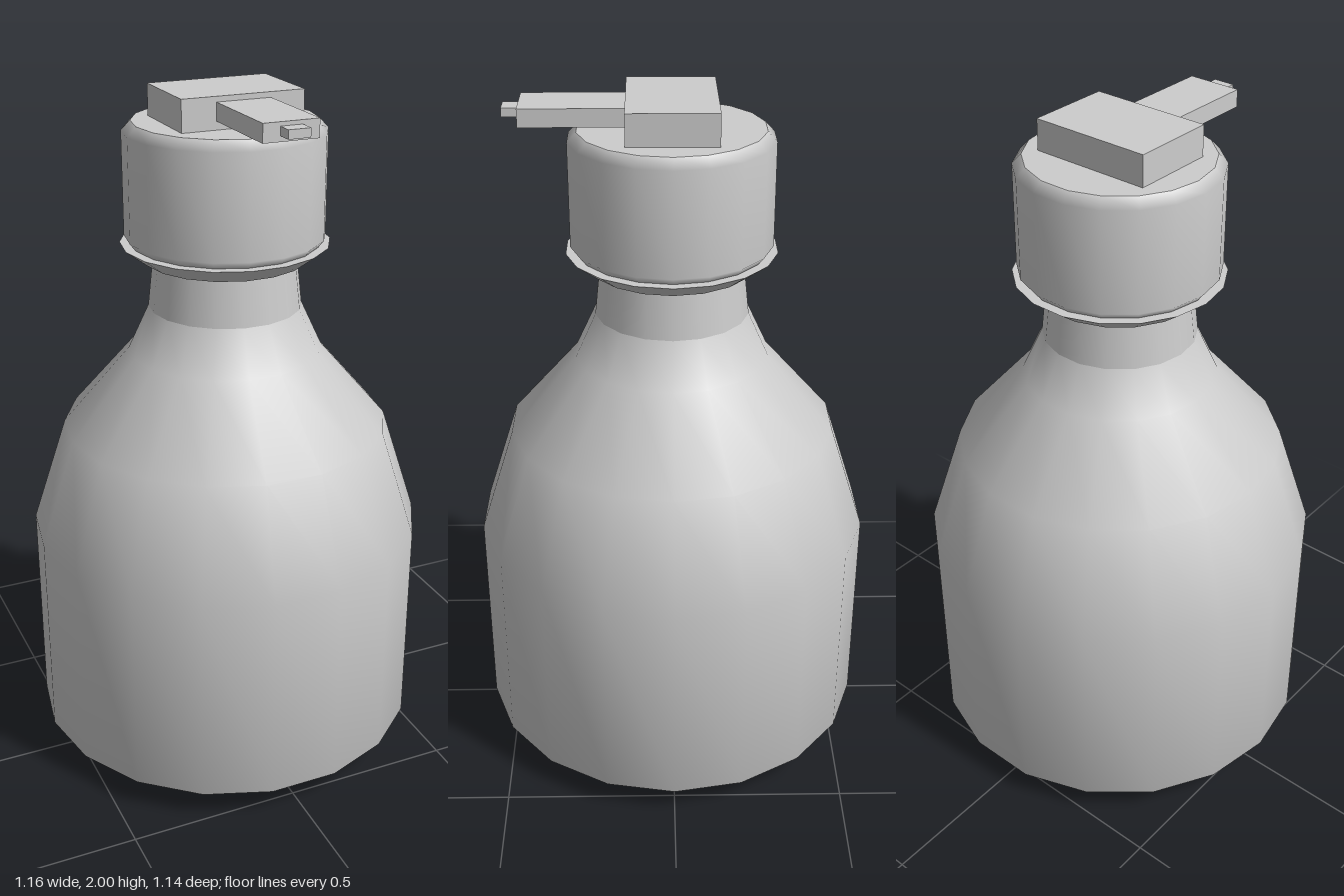
import * as THREE from 'three';

const SIDES = 18;

export function createModel() {
  const model = new THREE.Group();
  model.name = 'pumpBottle';

  const plastic = new THREE.MeshStandardMaterial({ color: 0xcccccc });
  plastic.name = 'greyPlastic';

  function add(name, geometry) {
    const mesh = new THREE.Mesh(geometry, plastic);
    mesh.name = name;
    model.add(mesh);
    return mesh;
  }

  // Smooth surface of revolution with a corner on the x axis
  function turned(name, profile) {
    const points = profile.map(([r, y]) => new THREE.Vector2(r, y));
    return add(name, new THREE.LatheGeometry(points, SIDES, Math.PI / 2));
  }

  function box(name, w, y0, y1, z0, z1) {
    const mesh = add(name, new THREE.BoxGeometry(w, y1 - y0, z1 - z0));
    mesh.position.set(0, (y0 + y1) / 2, (z0 + z1) / 2);
  }

  // Bottle: flat base, rounded body and plain neck
  turned('base', [[0, 0], [0.415, 0]]);
  turned('body', [[0.415, 0], [0.578, 0.09], [0.578, 0.715], [0.475, 1.03], [0.28, 1.255], [0.22, 1.385]]);
  turned('neck', [[0.22, 1.385], [0.203, 1.54]]);

  // Flared collar under the cap
  turned('collarUnderside', [[0.19, 1.525], [0.235, 1.525]]);
  turned('collarFlare', [[0.235, 1.525], [0.297, 1.572]]);
  turned('collarTop', [[0.297, 1.572], [0.25, 1.572]]);

  // Cap with softened rims
  turned('capWall', [[0.268, 1.572], [0.284, 1.592], [0.284, 1.885], [0.258, 1.912]]);
  turned('capTop', [[0.258, 1.912], [0, 1.912]]);

  // Press head with stepped spout
  box('pressHead', 0.355, 1.91, 2.0, -0.123, 0.123);
  box('spout', 0.157, 1.935, 1.985, 0.12, 0.405);
  box('spoutTip', 0.062, 1.95, 1.974, 0.4, 0.45);

  return model;
}
